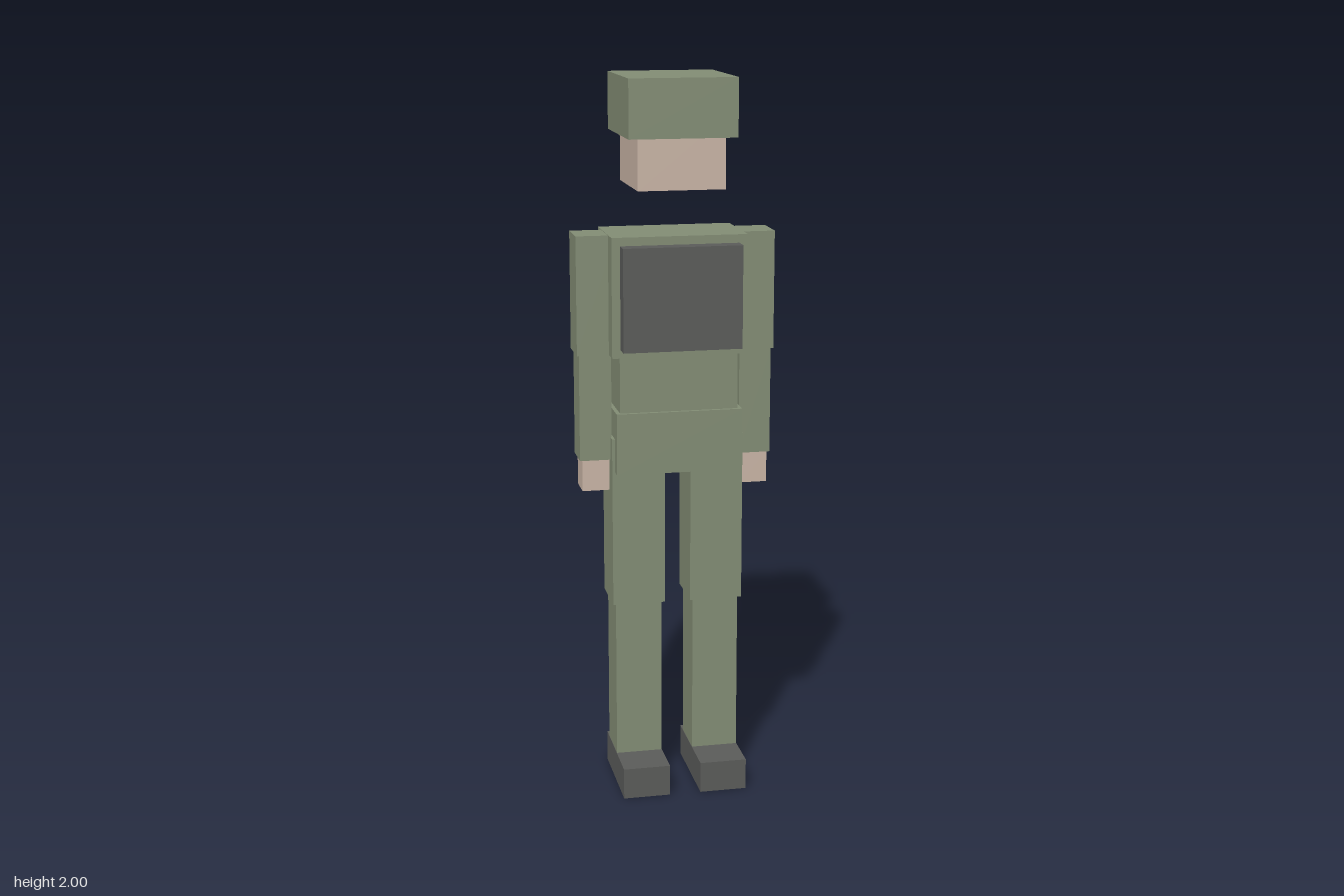
import * as THREE from 'three';

const material = (name, color) => {
  const m = new THREE.MeshStandardMaterial({ color });
  m.name = name;
  return m;
};

export function createModel() {
  const model = new THREE.Group();
  model.name = 'blockSoldier';
  const olive = material('oliveCloth', 0x828c74);
  const skin = material('skin', 0xc8b4a5);
  const dark = material('darkGear', 0x5a5b59);

  // Box given by its extents along each axis
  const block = (parent, name, mat, [x0, x1], [y0, y1], [z0, z1]) => {
    const mesh = new THREE.Mesh(new THREE.BoxGeometry(x1 - x0, y1 - y0, z1 - z0), mat);
    mesh.position.set((x0 + x1) / 2, (y0 + y1) / 2, (z0 + z1) / 2);
    mesh.name = name;
    parent.add(mesh);
  };

  // Head floats above the shoulders, under a boxy helmet
  block(model, 'head', skin, [-0.12, 0.118], [1.705, 1.9], [-0.145, 0.12]);
  block(model, 'helmet', olive, [-0.148, 0.146], [1.843, 2], [-0.174, 0.144]);

  // Torso
  block(model, 'chest', olive, [-0.187, 0.186], [1.252, 1.58], [-0.125, 0.094]);
  block(model, 'chestPlate', dark, [-0.164, 0.163], [1.275, 1.557], [0.08, 0.14]);
  block(model, 'waist', olive, [-0.165, 0.163], [1.08, 1.26], [-0.107, 0.085]);
  block(model, 'hips', olive, [-0.176, 0.175], [0.925, 1.097], [-0.124, 0.095]);

  // Limbs, mirrored: inner and outer distance from the centre line
  for (const [side, s] of [['left', 1], ['right', -1]]) {
    const arm = new THREE.Group();
    arm.name = side + 'Arm';
    const leg = new THREE.Group();
    leg.name = side + 'Leg';
    model.add(arm, leg);
    const span = (a, b) => (s > 0 ? [a, b] : [-b, -a]);

    block(arm, side + 'UpperArm', olive, span(0.165, 0.275), [1.252, 1.579], [-0.071, 0.04]);
    block(arm, side + 'Forearm', olive, span(0.18, 0.269), [0.955, 1.253], [-0.062, 0.034]);
    block(arm, side + 'Hand', skin, span(0.186, 0.262), [0.867, 0.956], [-0.054, 0.028]);

    block(leg, side + 'Thigh', olive, span(0.036, 0.184), [0.54, 1.02], [-0.087, 0.063]);
    block(leg, side + 'Shin', olive, span(0.045, 0.175), [0.075, 0.541], [-0.077, 0.053]);
    block(leg, side + 'Boot', dark, span(0.044, 0.176), [0, 0.088], [-0.108, 0.171]);
  }
  return model;
}
